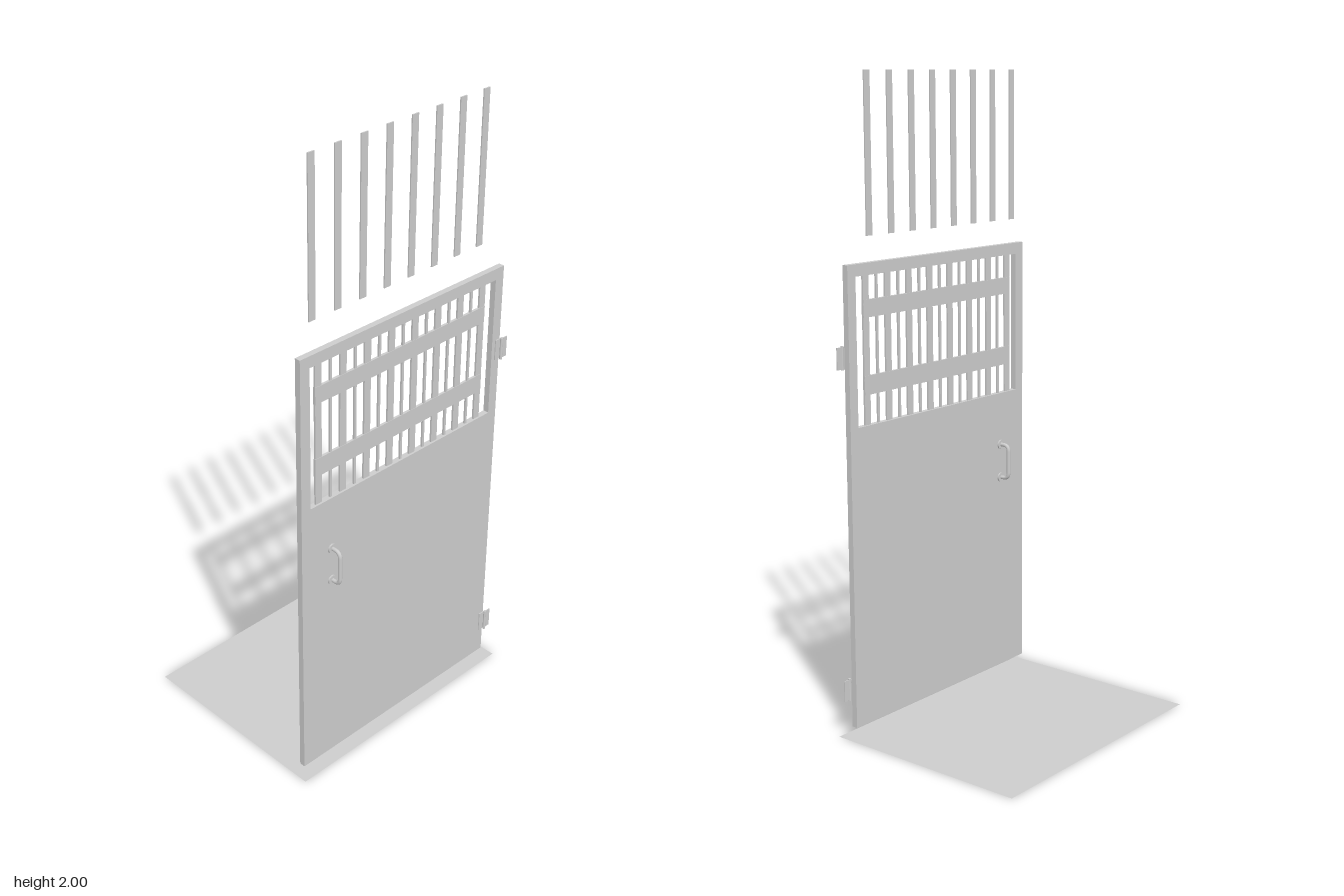
import * as THREE from 'three';

export function createModel() {
  const model = new THREE.Group();
  const grey = new THREE.MeshStandardMaterial({ color: 0xcccccc, side: THREE.DoubleSide });
  grey.name = 'light grey';

  const add = (name, geometry, parent = model) => {
    const mesh = new THREE.Mesh(geometry, grey);
    mesh.name = name;
    parent.add(mesh);
    return mesh;
  };
  // Box given by its limits on each axis
  const box = (name, x0, x1, y0, y1, z0, z1, parent) => {
    const g = new THREE.BoxGeometry(x1 - x0, y1 - y0, z1 - z0);
    return add(name, g.translate((x0 + x1) / 2, (y0 + y1) / 2, (z0 + z1) / 2), parent);
  };
  const rect = (path, z0, z1, y0, y1) => {
    path.moveTo(-z1, y0);
    path.lineTo(-z0, y0);
    path.lineTo(-z0, y1);
    path.lineTo(-z1, y1);
    path.closePath();
    return path;
  };
  const X0 = 0.284, X1 = 0.303, MID = (X0 + X1) / 2;
  const WIN = { y0: 0.965, y1: 1.414, z0: -0.37, z1: 0.375 };

  // Flat floor sheet
  const floor = new THREE.PlaneGeometry(0.677, 0.867).rotateX(-Math.PI / 2);
  add('floor', floor.translate(-0.0085, 0, -0.0015));

  // Door leaf with its window opening
  const leaf = rect(new THREE.Shape(), -0.403, 0.41, 0.03, 1.45);
  leaf.holes.push(rect(new THREE.Path(), WIN.z0, WIN.z1, WIN.y0, WIN.y1));
  const leafGeo = new THREE.ExtrudeGeometry(leaf, { depth: X1 - X0, bevelEnabled: false });
  add('doorLeaf', leafGeo.rotateY(Math.PI / 2).translate(X0, 0, 0));

  // Grille in the window, and the row of loose bars above the door
  const grille = new THREE.Group();
  grille.name = 'windowGrille';
  const looseBars = new THREE.Group();
  looseBars.name = 'looseBars';
  model.add(grille, looseBars);
  const pitch = 0.0941, half = 0.012;
  for (let i = 0; i < 8; i++) {
    const z = 0.3375 - i * pitch;
    box('grilleBar', MID - 0.003, MID + 0.003, WIN.y0, WIN.y1, z - half, z + half, grille);
    box('looseBar', 0.271, 0.275, 1.53, 2, z - half, z + half, looseBars);
    if (i < 7) {
      const m = z - pitch / 2;
      box('thinRod', MID - 0.003, MID + 0.003, WIN.y0, WIN.y1, m - 0.004, m + 0.004, grille);
    }
  }
  for (const [y0, y1] of [[1.056, 1.114], [1.288, 1.341]]) {
    box('crossSlat', MID - 0.004, MID + 0.004, y0, y1, -0.333, 0.35, grille);
  }

  // Pull handles on both faces, with round mounting discs
  const handleZ = 0.294, yTop = 0.793, yLow = 0.682, r = 0.02;
  for (const side of [-1, 1]) {
    const handle = new THREE.Group();
    handle.name = side > 0 ? 'leftHandle' : 'rightHandle';
    model.add(handle);
    const at = (d, y) => new THREE.Vector3(MID + side * d, y, handleZ);
    const out = 0.044;
    const path = new THREE.CurvePath();
    path.add(new THREE.LineCurve3(at(0.008, yTop), at(out - r, yTop)));
    path.add(new THREE.QuadraticBezierCurve3(at(out - r, yTop), at(out, yTop), at(out, yTop - r)));
    path.add(new THREE.LineCurve3(at(out, yTop - r), at(out, yLow + r)));
    path.add(new THREE.QuadraticBezierCurve3(at(out, yLow + r), at(out, yLow), at(out - r, yLow)));
    path.add(new THREE.LineCurve3(at(out - r, yLow), at(0.008, yLow)));
    add('grip', new THREE.TubeGeometry(path, 48, 0.0063, 12), handle);
    for (const y of [yTop, yLow]) {
      const disc = new THREE.CylinderGeometry(0.015, 0.015, 0.006, 20).rotateZ(Math.PI / 2);
      add('mountingDisc', disc.translate(MID + side * 0.0115, y, handleZ), handle);
    }
  }

  // Two hinges on the rear edge
  for (const y of [1.177, 0.15]) {
    const hinge = new THREE.Group();
    hinge.name = 'hinge';
    model.add(hinge);
    const pin = new THREE.CylinderGeometry(0.0045, 0.0045, 0.072, 12);
    add('knuckle', pin.translate(0.309, y, -0.406), hinge);
    box('doorPlate', 0.303, 0.306, y - 0.033, y + 0.033, -0.405, -0.383, hinge);
    box('framePlate', 0.306, 0.309, y - 0.033, y + 0.033, -0.43, -0.405, hinge);
  }

  return model;
}
